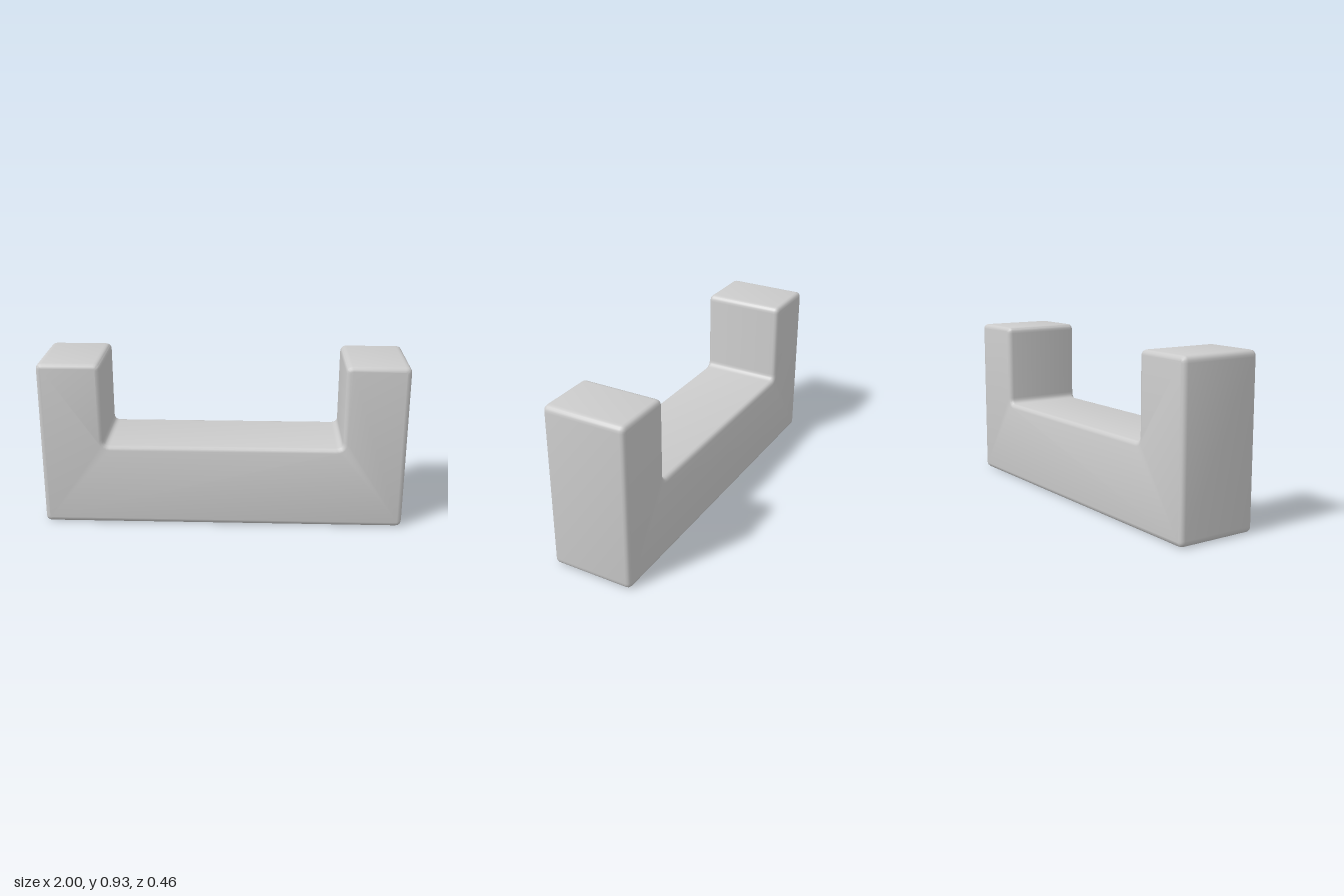
import * as THREE from 'three';
import { toCreasedNormals } from 'three/addons/utils/BufferGeometryUtils.js';

// Closed outline with every corner rounded by radius r
function roundedOutline(corners, r) {
  const pts = corners.map(([x, y]) => new THREE.Vector2(x, y));
  const shape = new THREE.Shape();
  pts.forEach((p, i) => {
    const prev = pts[(i + pts.length - 1) % pts.length];
    const next = pts[(i + 1) % pts.length];
    const a = prev.clone().sub(p).setLength(r).add(p);
    const b = next.clone().sub(p).setLength(r).add(p);
    if (i === 0) shape.moveTo(a.x, a.y);
    else shape.lineTo(a.x, a.y);
    shape.quadraticCurveTo(p.x, p.y, b.x, b.y);
  });
  shape.closePath();
  return shape;
}

export function createModel() {
  const group = new THREE.Group();
  group.name = 'uBracket';

  const width = 2, height = 0.925, depth = 0.46;
  const inner = 0.655, floor = 0.46, bevel = 0.025;

  // Right half of the U, mirrored to the left
  const half = [[width / 2, 0], [width / 2, height], [inner, height], [inner, floor]];
  const mirrored = half.map(([x, y]) => [-x, y]).reverse();
  const shape = roundedOutline([...half, ...mirrored], 0.035);

  // Base bar and two uprights in one body with softened edges
  const geometry = new THREE.ExtrudeGeometry(shape, {
    depth: depth - 2 * bevel,
    curveSegments: 5,
    bevelEnabled: true,
    bevelThickness: bevel,
    bevelSize: bevel,
    bevelOffset: -bevel,
    bevelSegments: 3,
  });
  geometry.translate(0, 0, -(depth - 2 * bevel) / 2);

  const body = new THREE.Mesh(
    toCreasedNormals(geometry, 0.65),
    new THREE.MeshStandardMaterial({ color: 0xcccccc })
  );
  body.name = 'body';
  group.add(body);
  return group;
}
